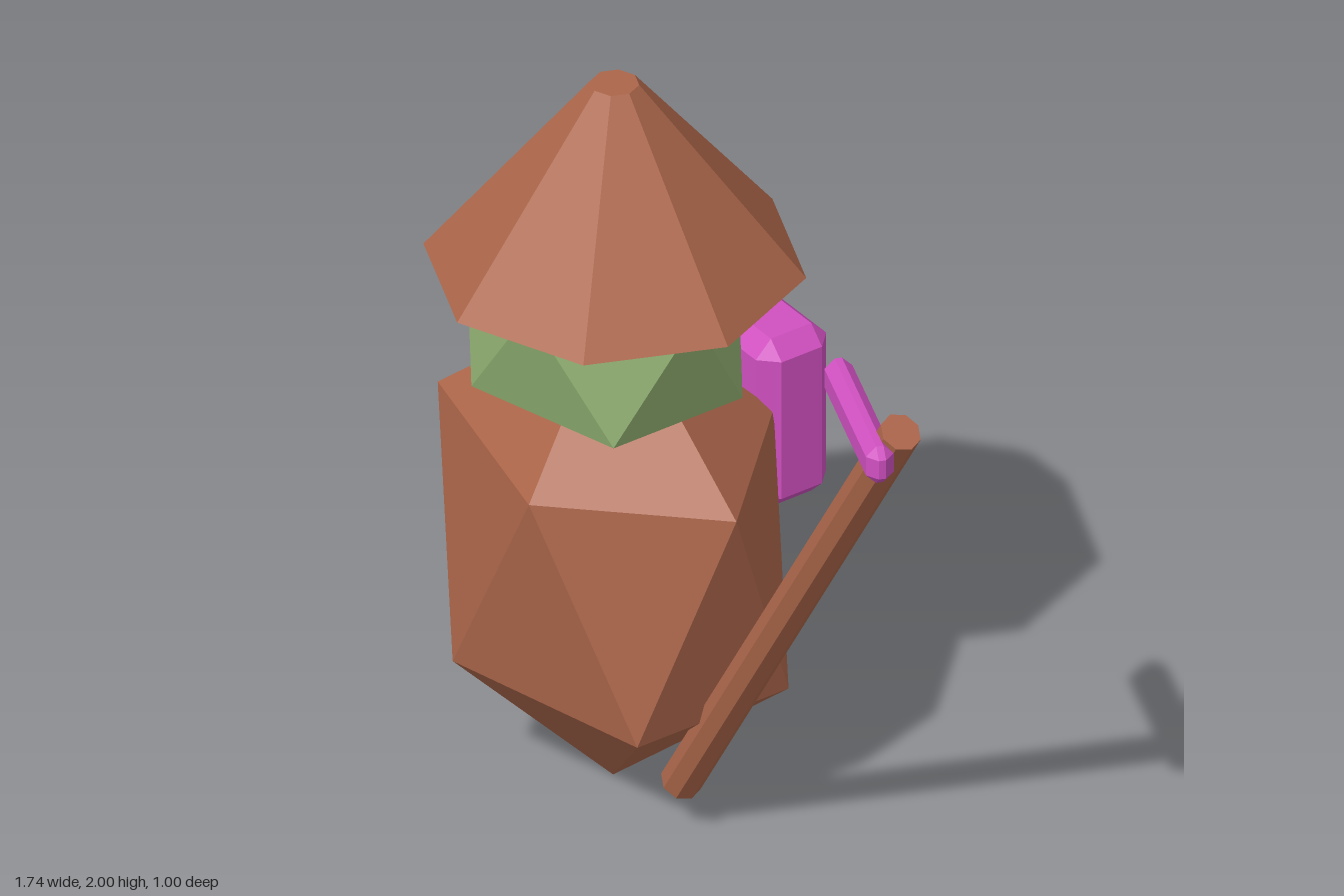
import * as THREE from 'three';
import { ConvexGeometry } from 'three/addons/geometries/ConvexGeometry.js';

const material = (color) => new THREE.MeshStandardMaterial({ color, flatShading: true });
const BROWN = material(0xac664a);
const GREEN = material(0x8fae70);
const PINK = material(0xd050c0);

// Stretched icosahedron standing on a point: two five-sided rings between two tips.
function gem(rx, ry, rz) {
  const points = [new THREE.Vector3(0, ry, 0), new THREE.Vector3(0, -ry, 0)];
  for (let i = 0; i < 5; i++) {
    const a = (i * Math.PI * 2) / 5;
    const x = Math.cos(a) * 0.8944 * rx, z = Math.sin(a) * 0.8944 * rz, y = 0.4472 * ry;
    points.push(new THREE.Vector3(x, y, z), new THREE.Vector3(-x, -y, z));
  }
  return new ConvexGeometry(points);
}

// Box with every edge and corner cut by c.
function chamferedBox(w, h, d, c) {
  const points = [];
  for (const x of [-1, 1]) for (const y of [-1, 1]) for (const z of [-1, 1]) {
    for (let axis = 0; axis < 3; axis++) {
      const inset = [c, c, c];
      inset[axis] = 0;
      points.push(new THREE.Vector3(x * (w / 2 - inset[0]), y * (h / 2 - inset[1]), z * (d / 2 - inset[2])));
    }
  }
  return new ConvexGeometry(points);
}

export function createModel() {
  const model = new THREE.Group();
  model.name = 'hattedTraveller';

  const add = (name, geometry, mat, x, y, z) => {
    const mesh = new THREE.Mesh(geometry, mat);
    mesh.name = name;
    mesh.position.set(x, y, z);
    model.add(mesh);
    return mesh;
  };

  // Figure
  add('body', gem(0.573, 0.693, 0.429), BROWN, -0.36, 0.693, 0.035);
  add('head', gem(0.425, 0.372, 0.366), GREEN, -0.36, 1.357, 0.062);
  add('hat', new THREE.CylinderGeometry(0.06, 0.47, 0.515, 8), BROWN, -0.36, 1.7425, 0.03);
  add('backpack', chamferedBox(0.375, 0.485, 0.21, 0.045), PINK, -0.3625, 0.952, -0.395);

  // Leaning staff with a blade at its top
  const foot = new THREE.Vector3(-0.085, 0.125, 0.03);
  const tip = new THREE.Vector3(0.828, 1.62, 0.03);
  const along = tip.clone().sub(foot);
  const middle = foot.clone().add(tip).multiplyScalar(0.5);
  const staff = add('staff', new THREE.CylinderGeometry(0.052, 0.052, along.length(), 8), BROWN, ...middle.toArray());
  staff.rotation.z = -Math.atan2(along.x, along.y);

  const blade = add('blade', chamferedBox(0.455, 0.105, 0.07, 0.026), PINK, 0.648, 1.557, 0.025);
  blade.rotation.y = -0.37;

  return model;
}
